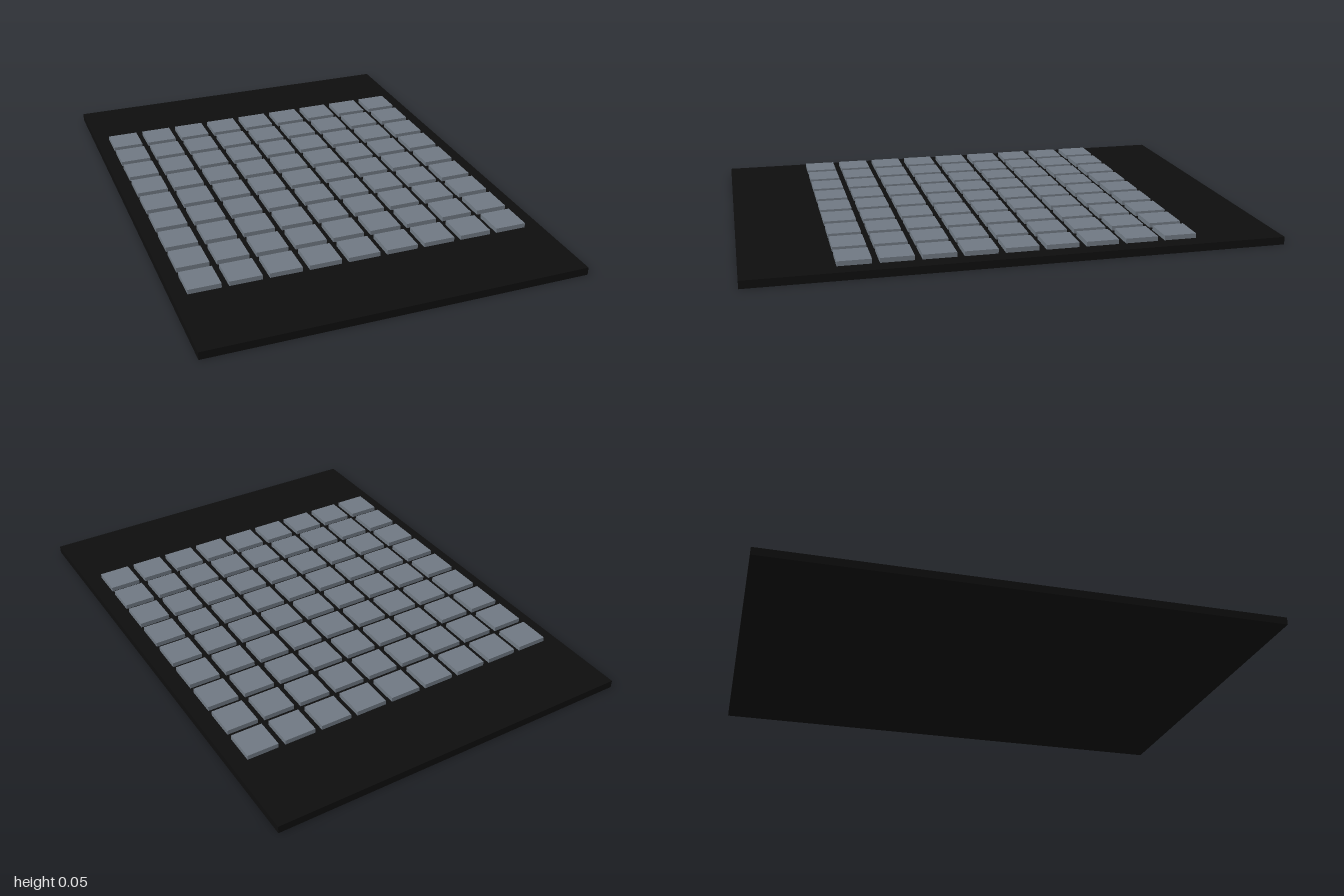
import * as THREE from 'three';

export function createModel() {
  const model = new THREE.Group();
  const black = new THREE.MeshStandardMaterial({ color: 0x0e0e0e });
  black.name = 'black';
  const slate = new THREE.MeshStandardMaterial({ color: 0x6f7882 });
  slate.name = 'slate grey';

  // Thin base plate
  const plate = new THREE.Mesh(new THREE.BoxGeometry(1.456, 0.03, 2), black);
  plate.name = 'basePlate';
  plate.position.y = 0.015;
  model.add(plate);

  // 9 x 9 grid of square tiles, very slightly off centre
  const count = 9, pitch = 0.1515, size = 0.124, height = 0.018, offset = -0.004;
  const tileGeometry = new THREE.BoxGeometry(size, height, size);
  const tiles = new THREE.Group();
  tiles.name = 'tiles';
  for (let row = 0; row < count; row++) {
    for (let col = 0; col < count; col++) {
      const tile = new THREE.Mesh(tileGeometry, slate);
      tile.name = `tile_${row + 1}_${col + 1}`;
      tile.position.set(
        offset + (col - (count - 1) / 2) * pitch,
        0.03 + height / 2,
        offset + (row - (count - 1) / 2) * pitch
      );
      tiles.add(tile);
    }
  }
  model.add(tiles);
  return model;
}
